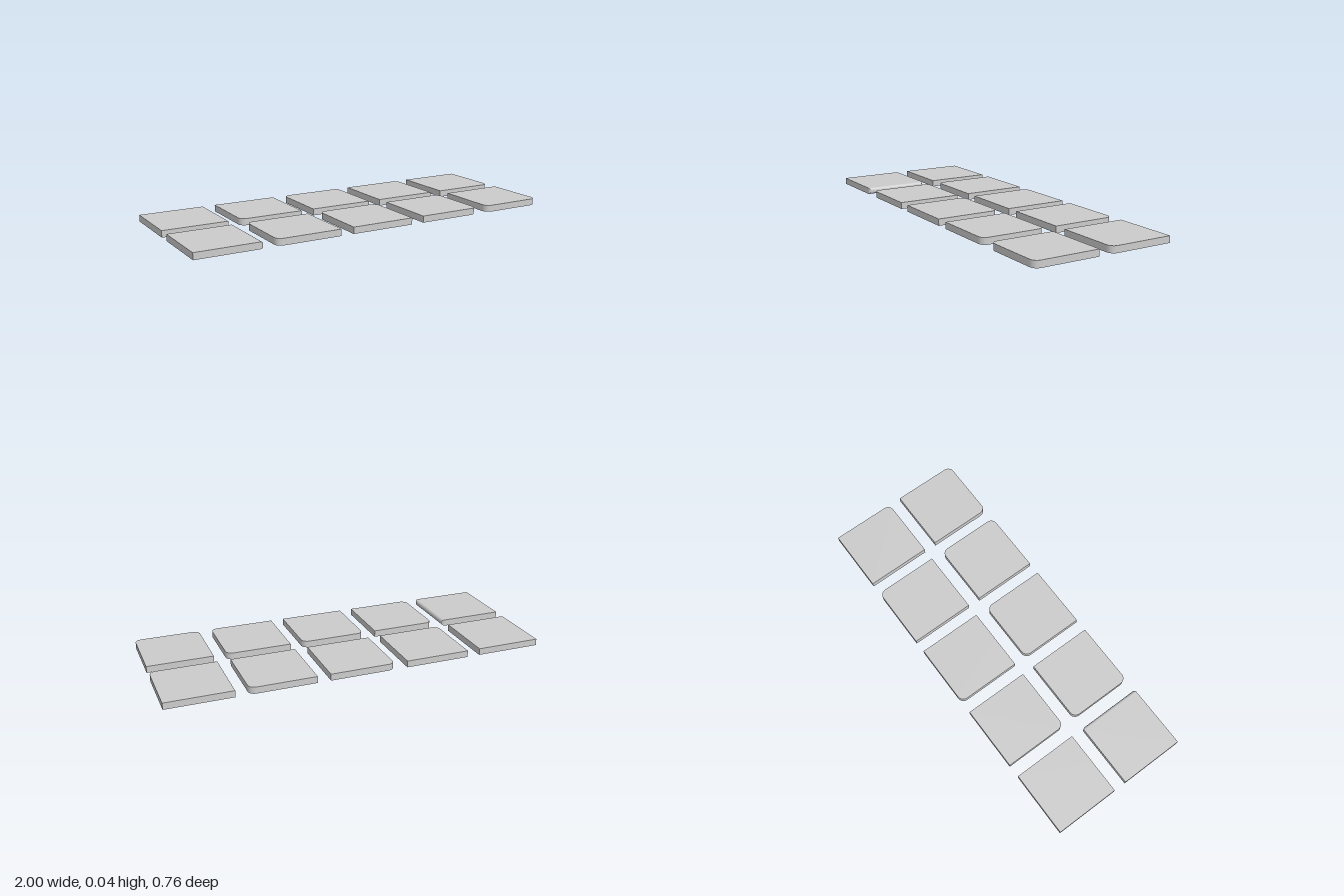
import * as THREE from 'three';
import { toCreasedNormals } from 'three/addons/utils/BufferGeometryUtils.js';

const SIZE = 0.345, HEIGHT = 0.035, PITCH = 0.4138;
const CORNER = 0.035, FILLET = 0.015;
const H = SIZE / 2;

// Flat slab; corners flagged in order: back left, back right, front right, front left (seen from above)
function tileGeometry([bl, br, fr, fl]) {
  const s = new THREE.Shape();
  const corner = (x, y, round, startAngle) => {
    const r = CORNER;
    if (round) s.absarc(x - Math.sign(x) * r, y - Math.sign(y) * r, r, startAngle, startAngle + Math.PI / 2, false);
    else s.lineTo(x, y);
  };
  s.moveTo(0, -H);
  corner(H, -H, fr, -Math.PI / 2);
  corner(H, H, br, 0);
  corner(-H, H, bl, Math.PI / 2);
  corner(-H, -H, fl, Math.PI);
  s.closePath();
  const g = new THREE.ExtrudeGeometry(s, { depth: HEIGHT, bevelEnabled: false, curveSegments: 10 });
  g.rotateX(-Math.PI / 2);
  return toCreasedNormals(g, 0.6);
}

// Slab whose +x face is filleted along all four of its edges
function edgeTileGeometry() {
  const steps = 8;
  const g = new THREE.BoxGeometry(SIZE, HEIGHT, SIZE, steps + 1, 1, 1);
  const p = g.attributes.position;
  for (let i = 0; i < p.count; i++) {
    const column = Math.round((p.getX(i) / SIZE + 0.5) * (steps + 1));
    if (column === 0) continue;
    const a = ((column - 1) / steps) * Math.PI / 2;
    const inset = FILLET * (1 - Math.cos(a));
    p.setXYZ(i,
      H - FILLET + FILLET * Math.sin(a),
      p.getY(i) - Math.sign(p.getY(i)) * inset,
      p.getZ(i) - Math.sign(p.getZ(i)) * inset);
  }
  g.computeVertexNormals();
  g.translate(0, HEIGHT / 2, 0);
  return g;
}

export function createModel() {
  const group = new THREE.Group();
  group.name = 'tileSet';
  const material = new THREE.MeshStandardMaterial({ color: 0xcccccc });

  // Back row: plain and single-corner tiles; front row: filleted-edge and double-corner tiles
  const rows = [
    [
      ['plainTile', [0, 0, 0, 0]],
      ['frontLeftCornerTile', [0, 0, 0, 1]],
      ['backLeftCornerTile', [1, 0, 0, 0]],
      ['backRightCornerTile', [0, 1, 0, 0]],
      ['frontRightCornerTile', [0, 0, 1, 0]],
    ],
    [
      ['filletedEdgeTile', null],
      ['roundedLeftTile', [1, 0, 0, 1]],
      ['roundedBackTile', [1, 1, 0, 0]],
      ['roundedRightTile', [0, 1, 1, 0]],
      ['roundedFrontTile', [0, 0, 1, 1]],
    ],
  ];
  rows.forEach((row, r) => row.forEach(([name, corners], c) => {
    const mesh = new THREE.Mesh(corners ? tileGeometry(corners) : edgeTileGeometry(), material);
    mesh.name = name;
    mesh.position.set((c - 2) * PITCH, 0, (r - 0.5) * PITCH);
    group.add(mesh);
  }));
  return group;
}
